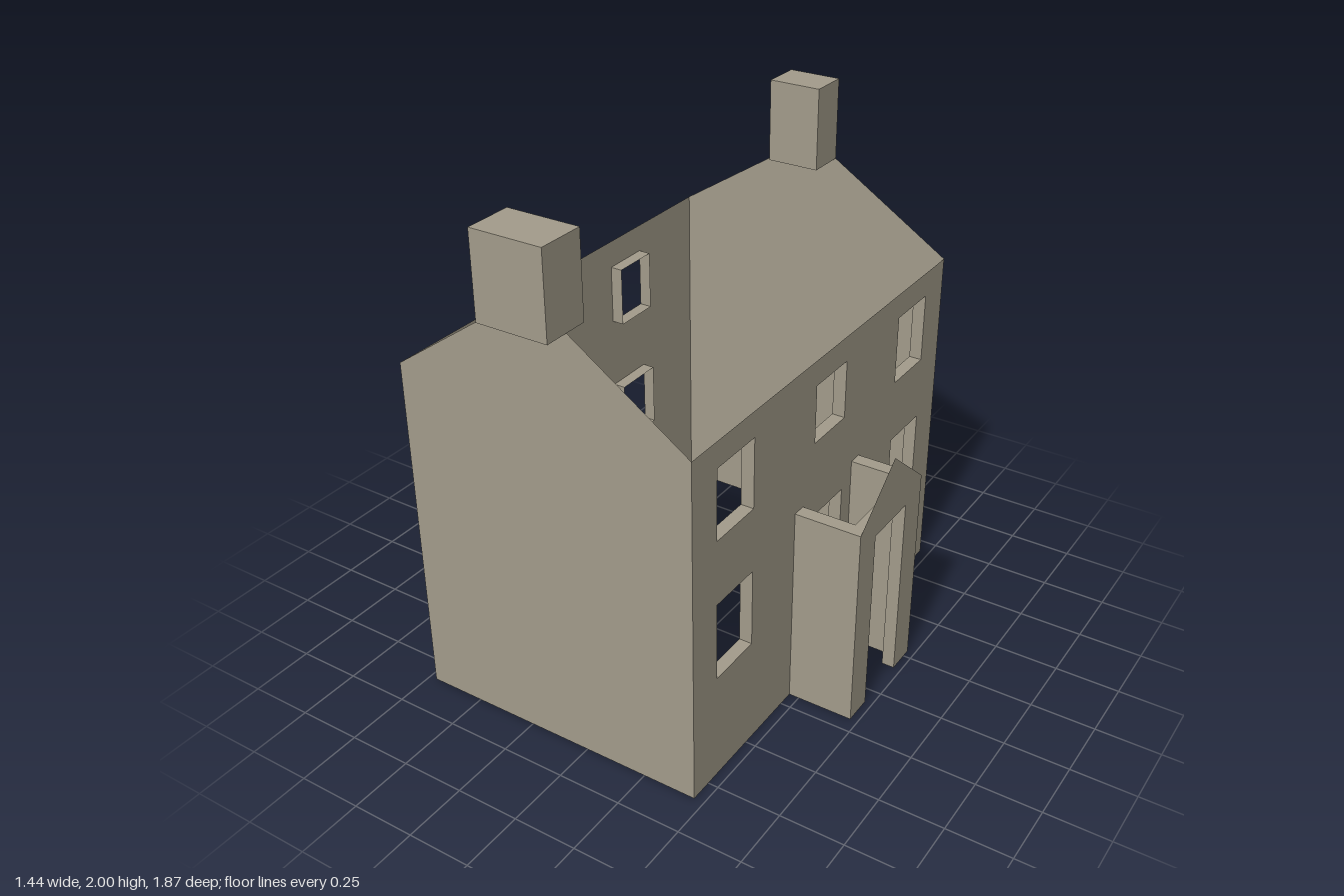
import * as THREE from 'three';

const stone = new THREE.MeshStandardMaterial({ color: 0xa39c8b, side: THREE.DoubleSide, flatShading: true });
stone.name = 'stone';

const LEFT = 0.46, RIGHT = -0.72, FRONT = 0.84, BACK = -0.93, EAVES = 1.37, RIDGE = 1.68;
const REVEAL = 0.05;

function add(group, name, geometry) {
  const mesh = new THREE.Mesh(geometry, stone);
  mesh.name = name;
  group.add(mesh);
  return mesh;
}

function shapeOf(points) {
  return new THREE.Shape(points.map(([u, v]) => new THREE.Vector2(u, v)));
}

function rect([u0, u1, v0, v1]) {
  return [[u0, v0], [u1, v0], [u1, v1], [u0, v1]];
}

// box given by its limits on each axis
function block(group, name, x0, x1, y0, y1, z0, z1) {
  const mesh = add(group, name, new THREE.BoxGeometry(x1 - x0, y1 - y0, z1 - z0));
  mesh.position.set((x0 + x1) / 2, (y0 + y1) / 2, (z0 + z1) / 2);
}

// four faces lining an opening [z0, z1, y0, y1] between two x positions
function reveal(group, name, opening, xa, xb) {
  const corners = rect(opening);
  const positions = [], index = [];
  corners.forEach(([z, y], i) => {
    const [z2, y2] = corners[(i + 1) % 4];
    positions.push(xa, y, z, xa, y2, z2, xb, y2, z2, xb, y, z);
    const k = i * 4;
    index.push(k, k + 1, k + 2, k, k + 2, k + 3);
  });
  const geometry = new THREE.BufferGeometry();
  geometry.setAttribute('position', new THREE.Float32BufferAttribute(positions, 3));
  geometry.setIndex(index);
  geometry.computeVertexNormals();
  add(group, name, geometry);
}

// thin long wall with openings and linings turned inward
function sideWall(group, name, x, openings, inward) {
  const shape = shapeOf(rect([BACK, FRONT, 0, EAVES]));
  for (const o of openings) shape.holes.push(new THREE.Path(shapeOf(rect(o)).getPoints()));
  const wall = add(group, name, new THREE.ShapeGeometry(shape));
  wall.rotation.y = -Math.PI / 2;
  wall.position.x = x;
  openings.forEach((o, i) => reveal(group, name + 'Reveal' + (i + 1), o, x, x + inward * REVEAL));
}

// thin gable end with a flat top for the chimney
function gable(group, name, z, x0, x1) {
  const shape = shapeOf([[RIGHT, 0], [LEFT, 0], [LEFT, EAVES], [x1, RIDGE], [x0, RIDGE], [RIGHT, EAVES]]);
  add(group, name, new THREE.ShapeGeometry(shape)).position.z = z;
}

export function createModel() {
  const house = new THREE.Group();
  house.name = 'house';

  // long walls
  const doorSideOpenings = [[-0.16, 0.065, 0.24, 0.73], [-0.155, 0.06, 1.04, 1.27]];
  for (const [z0, z1] of [[0.47, 0.695], [-0.785, -0.56]]) {
    doorSideOpenings.push([z0, z1, 0.43, 0.74], [z0, z1, 0.995, 1.27]);
  }
  sideWall(house, 'entranceWall', LEFT, doorSideOpenings, -1);
  sideWall(house, 'rearWall', RIGHT, [
    [-0.57, -0.36, 0.47, 0.73], [-0.56, -0.365, 1.02, 1.26],
    [0.2, 0.415, 0.23, 0.73], [0.21, 0.405, 1.02, 1.26],
  ], 1);

  // gable ends and chimneys
  gable(house, 'frontGable', FRONT, -0.275, 0.005);
  gable(house, 'backGable', BACK, -0.24, -0.03);
  block(house, 'frontChimney', -0.275, 0.005, RIDGE, 2, 0.75, 0.935);
  block(house, 'backChimney', -0.24, -0.03, RIDGE, 2, BACK, -0.775);

  // porch: side walls, front with doorway, thin pediment
  const porch = new THREE.Group();
  porch.name = 'porch';
  house.add(porch);
  const z0 = -0.285, z1 = 0.187, top = 0.815, outer = 0.72, inner = 0.67;
  block(porch, 'porchBackSide', LEFT, inner, 0, top, z0, z0 + 0.055);
  block(porch, 'porchFrontSide', LEFT, inner, 0, top, z1 - 0.055, z1);
  const front = shapeOf([
    [z0, 0], [-0.165, 0], [-0.165, 0.75], [0.07, 0.75], [0.07, 0], [z1, 0], [z1, top], [z0, top],
  ]);
  const doorway = add(porch, 'porchDoorway',
    new THREE.ExtrudeGeometry(front, { depth: outer - inner, bevelEnabled: false }));
  doorway.rotation.y = -Math.PI / 2;
  doorway.position.x = outer;
  const pediment = add(porch, 'porchPediment',
    new THREE.ShapeGeometry(shapeOf([[z0, top], [z1, top], [(z0 + z1) / 2, 1.01]])));
  pediment.rotation.y = -Math.PI / 2;
  pediment.position.x = outer;

  return house;
}
